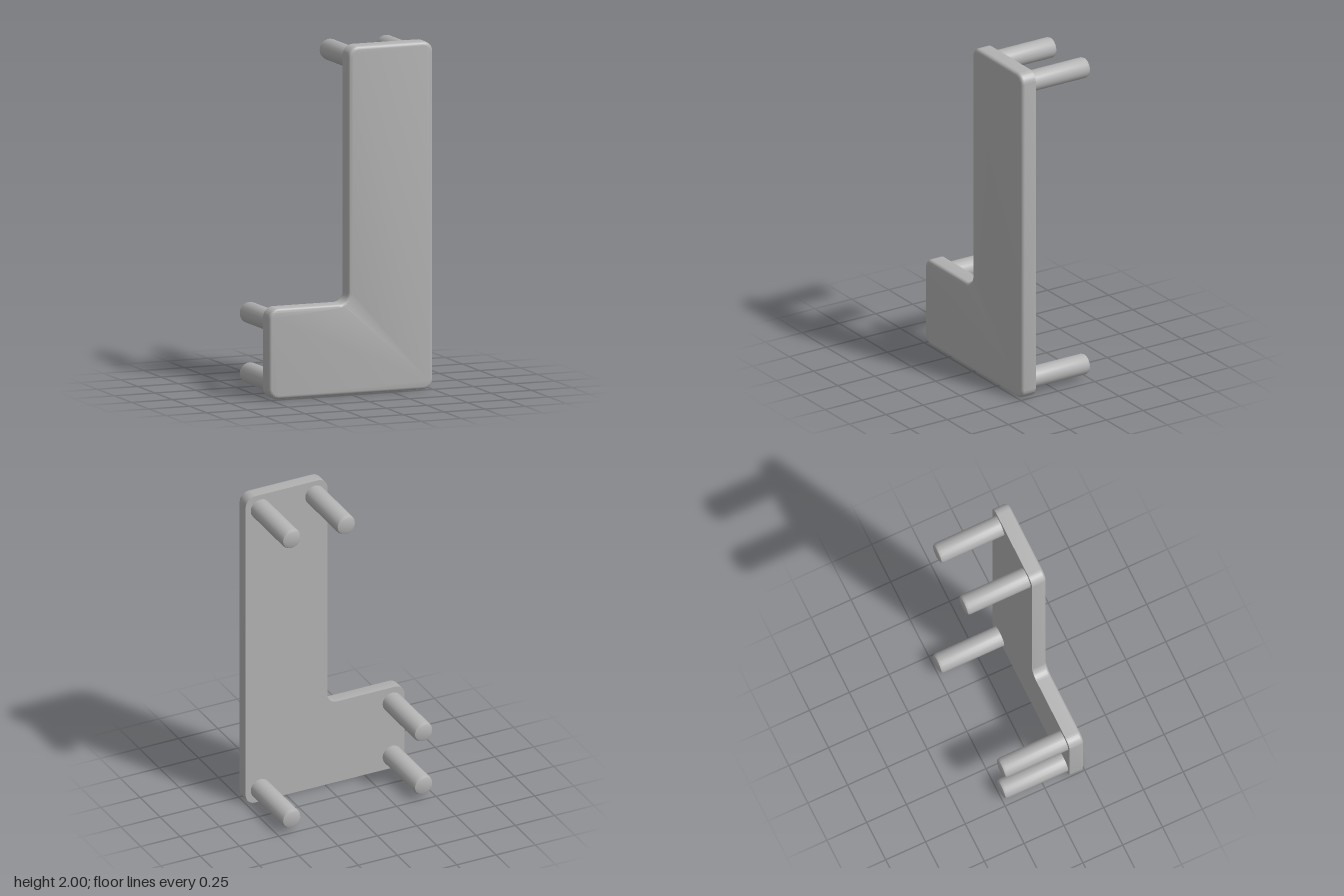
import * as THREE from 'three';
import { toCreasedNormals } from 'three/addons/utils/BufferGeometryUtils.js';

const BACK = 0.153;   // rear face of the plate
const FRONT = 0.245;  // front face of the plate
const PEG_END = -0.245;

// L-shaped outline with rounded corners
function plateShape(r = 0.06) {
  const L = -0.505, R = 0.505, stem = -0.015, step = 0.525, top = 2;
  const s = new THREE.Shape();
  s.moveTo(L + r, 0);
  s.lineTo(R - r, 0);
  s.absarc(R - r, r, r, -Math.PI / 2, 0, false);
  s.lineTo(R, top - r);
  s.absarc(R - r, top - r, r, 0, Math.PI / 2, false);
  s.lineTo(stem + r, top);
  s.absarc(stem + r, top - r, r, Math.PI / 2, Math.PI, false);
  s.lineTo(stem, step + r);
  s.absarc(stem - r, step + r, r, 0, -Math.PI / 2, true); // inner corner
  s.lineTo(L + r, step);
  s.absarc(L + r, step - r, r, Math.PI / 2, Math.PI, false);
  s.lineTo(L, r);
  s.absarc(L + r, r, r, Math.PI, Math.PI * 1.5, false);
  return s;
}

// Plate with a rounded front edge and a sharp, flat back
function plateGeometry() {
  const round = 0.022;
  const g = new THREE.ExtrudeGeometry(plateShape(), {
    depth: FRONT - BACK - round, curveSegments: 8,
    bevelThickness: round, bevelSize: round, bevelOffset: -round, bevelSegments: 5,
  });
  // flatten the rear bevel into the back face
  const p = g.attributes.position;
  for (let i = 0; i < p.count; i++) p.setZ(i, Math.max(0, p.getZ(i)));
  g.translate(0, 0, BACK);
  return toCreasedNormals(g, 0.5);
}

// Round peg pointing backwards, with a softened end
function pegGeometry(r = 0.061) {
  const len = BACK - PEG_END, b = 0.02;
  const profile = [[r, 0], [r, len - b], [r - 0.006, len - 0.006], [r - b, len], [0, len]]
    .map(([x, y]) => new THREE.Vector2(x, y));
  const g = new THREE.LatheGeometry(profile, 20);
  g.rotateX(-Math.PI / 2);
  g.translate(0, 0, BACK);
  return toCreasedNormals(g, 0.6);
}

export function createModel() {
  const model = new THREE.Group();
  model.name = 'bracket';
  const grey = new THREE.MeshStandardMaterial({ color: 0xb2b2b2 });
  grey.name = 'light grey';

  const plate = new THREE.Mesh(plateGeometry(), grey);
  plate.name = 'plate';
  model.add(plate);

  // Five pegs near the outer corners
  const peg = pegGeometry();
  const spots = {
    topRightPeg: [0.065, 1.91], topLeftPeg: [0.412, 1.91],
    bottomLeftPeg: [0.412, 0.083], bottomRightPeg: [-0.427, 0.083], stepPeg: [-0.427, 0.43],
  };
  for (const [name, [x, y]] of Object.entries(spots)) {
    const m = new THREE.Mesh(peg, grey);
    m.name = name;
    m.position.set(x, y, 0);
    model.add(m);
  }
  return model;
}
